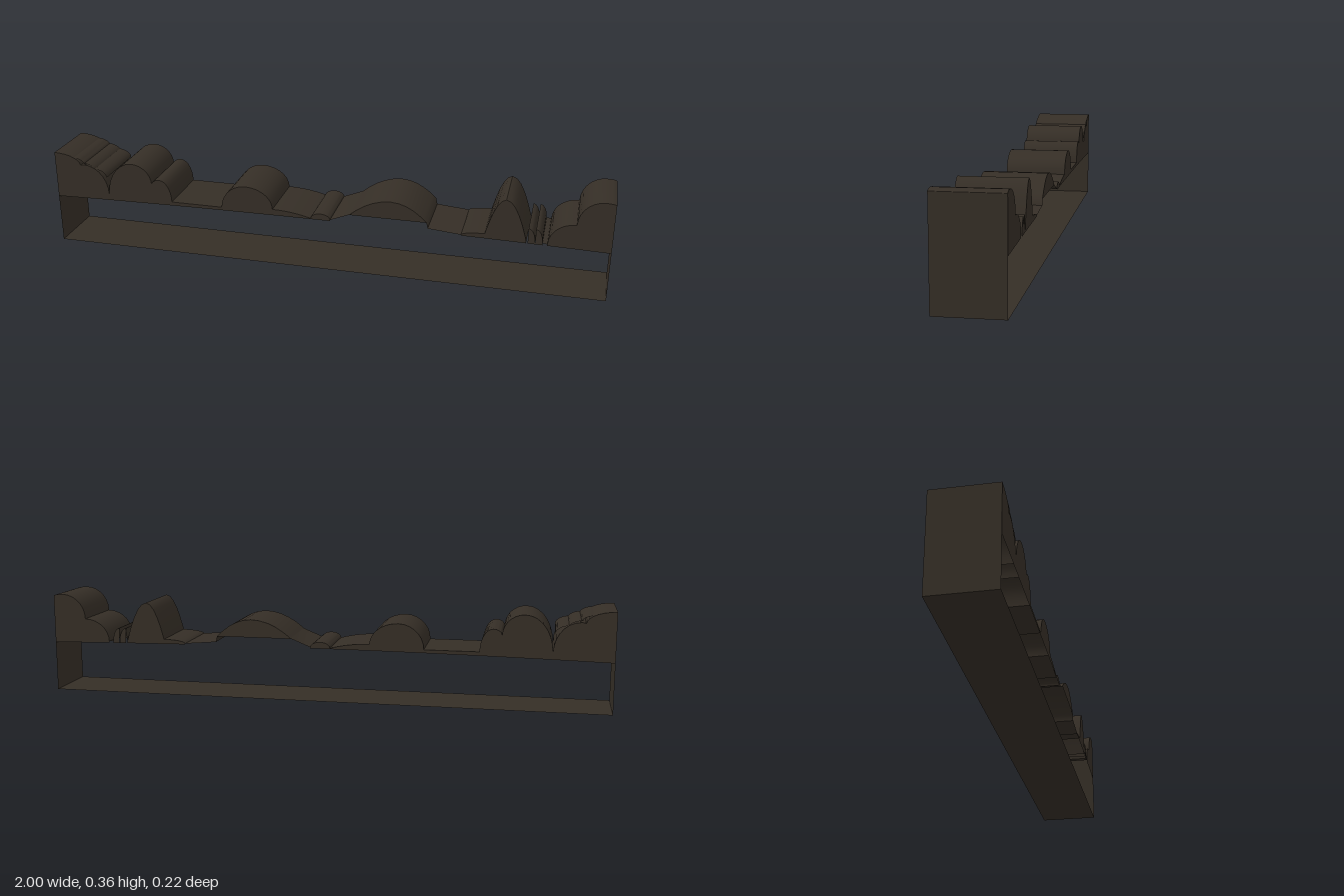
import * as THREE from 'three';
import { toCreasedNormals } from 'three/addons/utils/BufferGeometryUtils.js';

const HALF_DEPTH = 0.11;
const STEPS = 7;
const v = (x, y) => new THREE.Vector2(x, y);

// Underside of the end caps: a very shallow arch
const floorAt = (x) => 0.19 - 0.012 * x * x;

// Quarter curve from a flank point up to a crown; k = 1 is elliptical, larger k is bell shaped
function quarter(flank, crown, k) {
  const points = [];
  for (let i = 0; i <= STEPS; i++) {
    const a = (i / STEPS) * Math.PI / 2;
    points.push(v(
      crown.x + (flank.x - crown.x) * Math.cos(a),
      flank.y + (crown.y - flank.y) * Math.sin(a) ** k,
    ));
  }
  return points;
}

// Open sheet following a 2D path across the full depth
function ribbon(points) {
  const pos = [], index = [];
  points.forEach((p, i) => {
    const a = i * 2;
    pos.push(p.x, p.y, HALF_DEPTH, p.x, p.y, -HALF_DEPTH);
    if (i > 0) index.push(a - 2, a, a - 1, a, a + 1, a - 1);
  });
  const g = new THREE.BufferGeometry();
  g.setAttribute('position', new THREE.Float32BufferAttribute(pos, 3));
  g.setIndex(index);
  return toCreasedNormals(g, 0.6);
}

export function createModel() {
  const group = new THREE.Group();
  const material = new THREE.MeshStandardMaterial({ color: 0x352e26, side: THREE.DoubleSide });
  const add = (name, geometry, z = 0) => {
    const mesh = new THREE.Mesh(geometry, material);
    mesh.name = name;
    mesh.position.z = z;
    group.add(mesh);
  };

  // The skyline is drawn like a pen stroke from -x to +x
  const skyline = [v(-1, 0.35)];
  const lineTo = (x, y) => skyline.push(v(x, y));

  // A hill from the pen over its crown to its end, with a flat cap at front and back
  function hill(name, crownX, crownY, endX, endY, k = 1, floor = floorAt) {
    const start = skyline[skyline.length - 1];
    const crown = v(crownX, crownY), end = v(endX, endY);
    const curve = [start];
    if (crownX > start.x) curve.push(...quarter(start, crown, k).slice(1));
    if (endX > crownX) curve.push(...quarter(end, crown, k).reverse().slice(1));
    skyline.push(...curve.slice(1));
    const cap = new THREE.ShapeGeometry(
      new THREE.Shape([...curve, v(endX, floor(endX)), v(start.x, floor(start.x))]));
    add(name + 'Front', cap, HALF_DEPTH);
    add(name + 'Back', cap, -HALF_DEPTH);
  }

  // Left bushes and flat ground
  hill('leftBush', -1, 0.35, -0.9, 0.308);
  hill('leftBushFoot', -0.885, 0.312, -0.795, 0.205);
  hill('leftDome', -0.7, 0.332, -0.625, 0.26);
  hill('smallShrub', -0.595, 0.28, -0.55, 0.2);
  hill('flatGround', -0.45, 0.2, -0.36, 0.2);

  // Middle mounds
  hill('middleDome', -0.27, 0.288, -0.17, 0.212);
  hill('lowSlope', -0.17, 0.212, -0.03, 0.193, 2);
  hill('tinyMound', 0.005, 0.213, 0.04, 0.194);
  lineTo(0.11, 0.222);
  hill('wideMound', 0.255, 0.285, 0.38, 0.222, 2, () => 0.221);
  lineTo(0.385, 0.2);
  lineTo(0.5, 0.19);

  // Right tree, grass blades and bush
  hill('rightShelf', 0.58, 0.203, 0.58, 0.203);
  hill('rightTree', 0.645, 0.334, 0.72, 0.19, 2);
  for (const x of [0.725, 0.75]) {
    lineTo(x, 0.238);
    hill('grassBlade', x, 0.238, x + 0.024, 0.19);
  }
  lineTo(0.79, 0.188);
  hill('rightBushFoot', 0.88, 0.268, 0.88, 0.268);
  hill('rightBush', 0.965, 0.356, 1, 0.35);
  add('terrainTop', ribbon(skyline));

  // Thin stalks arching over the left bush
  for (const x of [-0.93, -0.89, -0.85]) {
    const y = 0.3 - (x + 0.85) * 0.45;
    add('stalk', ribbon(quarter(v(x + 0.05, y - 0.03), v(x, y), 1)));
  }

  // Thin sheets closing the bottom and both ends
  add('bottomSheet', ribbon([v(1, 0), v(-1, 0)]));
  add('rightEnd', ribbon([v(-1, 0), v(-1, 0.35)]));
  add('leftEnd', ribbon([v(1, 0.35), v(1, 0)]));
  return group;
}
